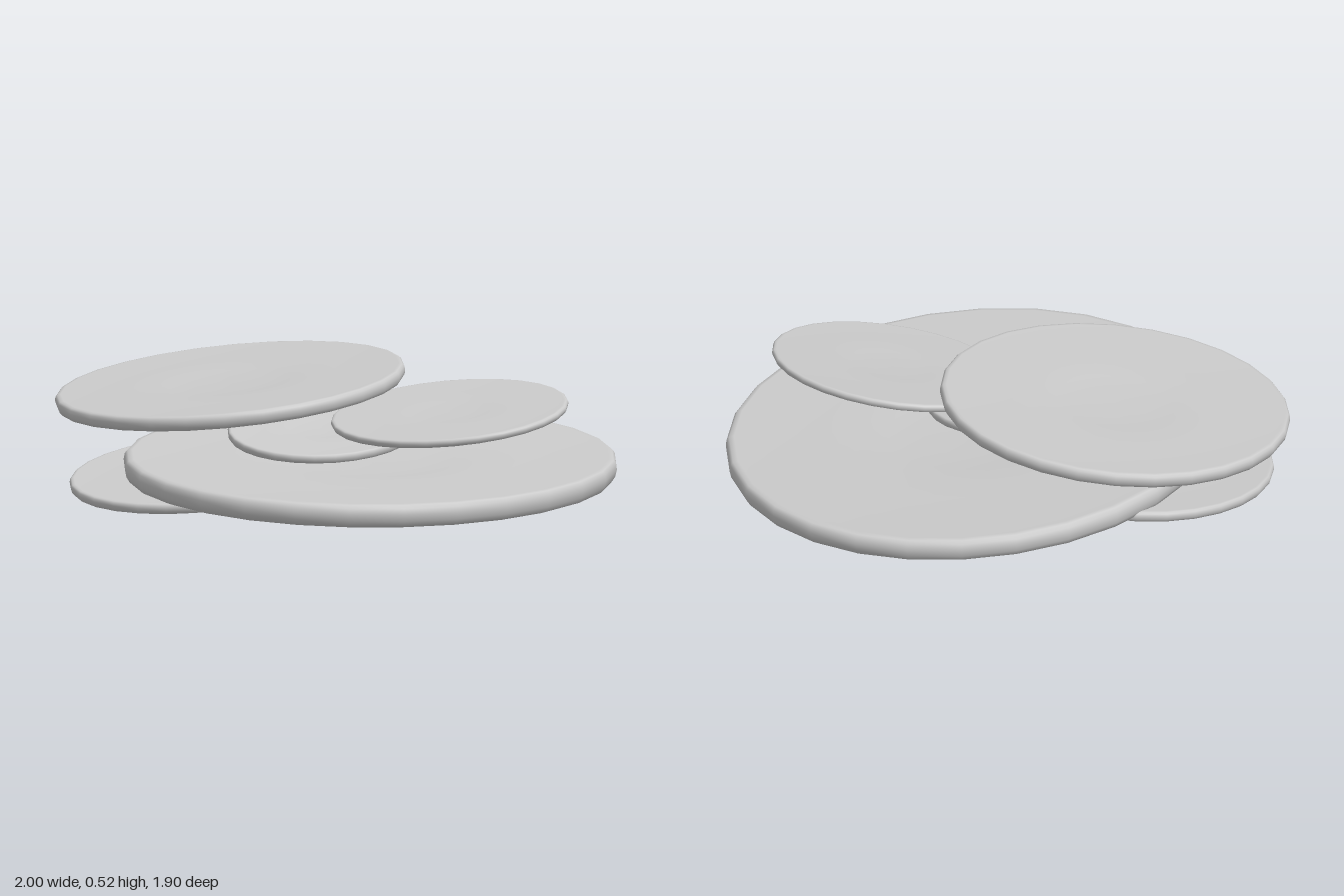
import * as THREE from 'three';

// Unit profiles, radius 1, centred on the middle of the rim
const CAP = [
  [0, -0.046], [0.5, -0.046], [0.955, -0.046], [0.98, -0.038], [0.994, -0.018],
  [1, 0.008], [0.996, 0.03], [0.985, 0.042], [0.965, 0.045], [0.93, 0.04],
  [0.6, 0.034], [0.44, 0.034], [0.34, 0.024], [0.2, 0.018], [0, 0.016],
];
const STUB = [
  [0, -0.19], [0.04, -0.19], [0.058, -0.184], [0.072, -0.168],
  [0.1, -0.115], [0.128, -0.07], [0.142, -0.044],
];

function lathe(points, segments) {
  return new THREE.LatheGeometry(points.map(([r, y]) => new THREE.Vector2(r, y)), segments);
}

// name, centre, radii (x, thickness, z), tilt about x and z
const DISCS = [
  ['largeDisc', [0.162, 0.18, 0], [0.838, 0.95, 0.95], 0.026, -0.043],
  ['topDisc', [-0.388, 0.423, 0], [0.614, 0.61, 0.612], 0.09, 0.065],
  ['sideDisc', [0.467, 0.385, -0.015], [0.428, 0.33, 0.373], 0.165, 0.045],
  ['smallDisc', [0.02, 0.31, 0.092], [0.32, 0.37, 0.362], 0.13, -0.075],
  ['lowDisc', [-0.42, 0.133, 0.14], [0.46, 0.45, 0.5], 0.12, 0.02],
];

export function createModel() {
  const group = new THREE.Group();
  const material = new THREE.MeshStandardMaterial({ color: 0xcccccc });
  const capGeometry = lathe(CAP, 28);
  const stubGeometry = lathe(STUB, 28);

  for (const [name, centre, radii, tiltX, tiltZ] of DISCS) {
    const disc = new THREE.Group();
    disc.name = name;

    // Thin dished plate
    const cap = new THREE.Mesh(capGeometry, material);
    cap.name = name + 'Plate';

    // Tapered foot under the plate
    const stub = new THREE.Mesh(stubGeometry, material);
    stub.name = name + 'Foot';

    disc.add(cap, stub);
    disc.position.set(...centre);
    disc.scale.set(...radii);
    disc.rotation.set(tiltX, 0, tiltZ);
    group.add(disc);
  }
  return group;
}
